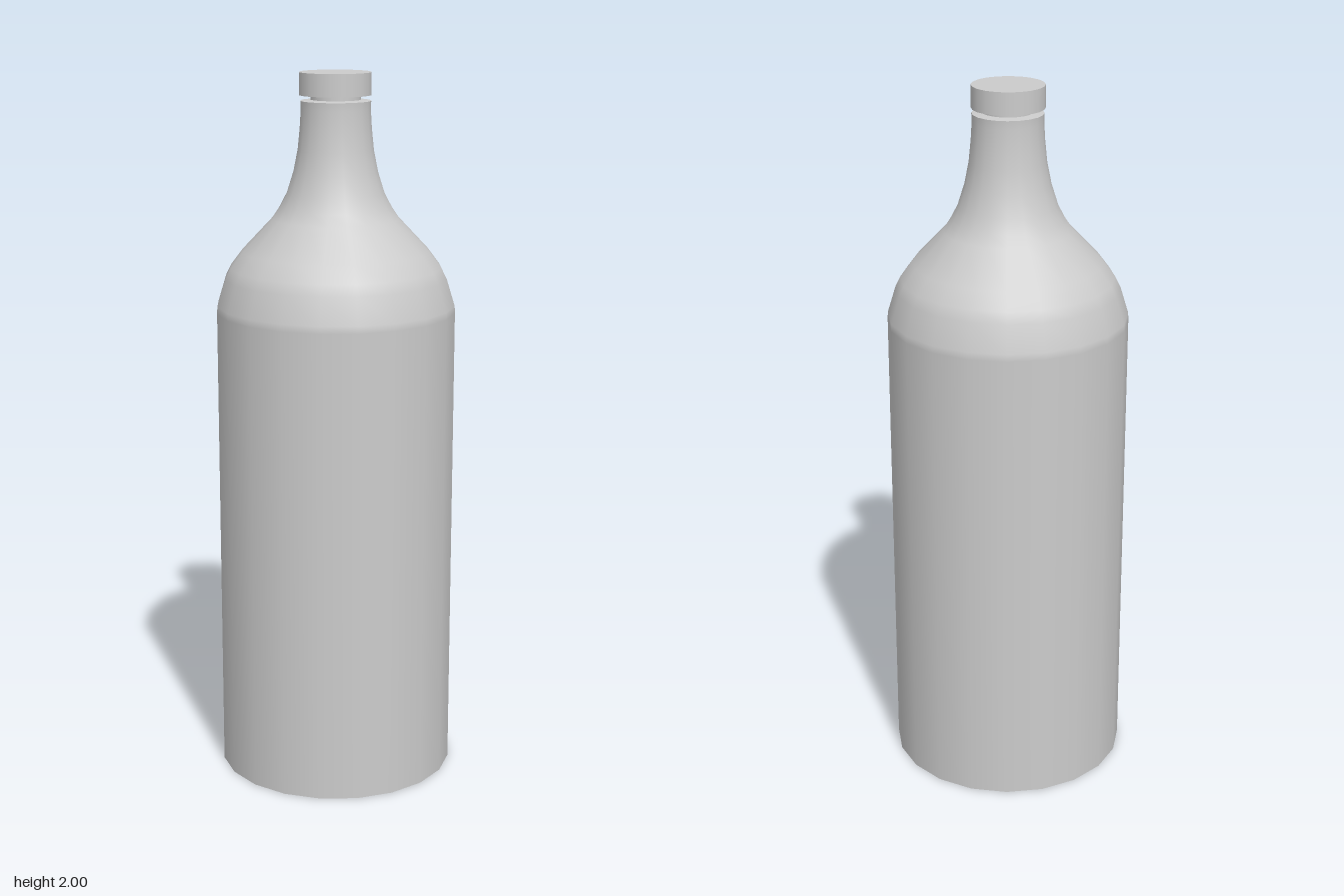
import * as THREE from 'three';

const SIDES = 20;

export function createModel() {
  const group = new THREE.Group();
  group.name = 'bottle';
  const material = new THREE.MeshStandardMaterial({ color: 0xcccccc });

  const add = (name, geometry, y = 0) => {
    const mesh = new THREE.Mesh(geometry, material);
    mesh.name = name;
    mesh.position.y = y;
    group.add(mesh);
    return mesh;
  };
  // Profile of [radius, height] pairs from bottom to top
  const lathe = (profile) =>
    new THREE.LatheGeometry(profile.map(([r, y]) => new THREE.Vector2(r, y)), SIDES);

  // Straight body, rounded shoulder and tapering neck
  add('body', lathe([
    [0.336, 0], [0.336, 1.34], [0.335, 1.36], [0.312, 1.435], [0.297, 1.465],
    [0.263, 1.51], [0.178, 1.6], [0.158, 1.63], [0.137, 1.67], [0.118, 1.73],
    [0.106, 1.79], [0.1, 1.85], [0.097, 1.9], [0.098, 1.923],
  ]));

  // Flat underside
  add('base', new THREE.CircleGeometry(0.336, SIDES, Math.PI / 2).rotateX(Math.PI / 2));

  // Flat lip around the mouth
  add('lip', lathe([[0.098, 1.923], [0.07, 1.926]]));

  // Narrow collar showing in the gap below the cap
  add('collar', new THREE.CylinderGeometry(0.07, 0.07, 0.03, SIDES), 1.932);

  // Stopper cap, a touch off centre
  const cap = add('cap', new THREE.CylinderGeometry(0.1, 0.1, 0.062, SIDES), 1.969);
  cap.position.x = -0.003;
  cap.position.z = -0.001;

  return group;
}
